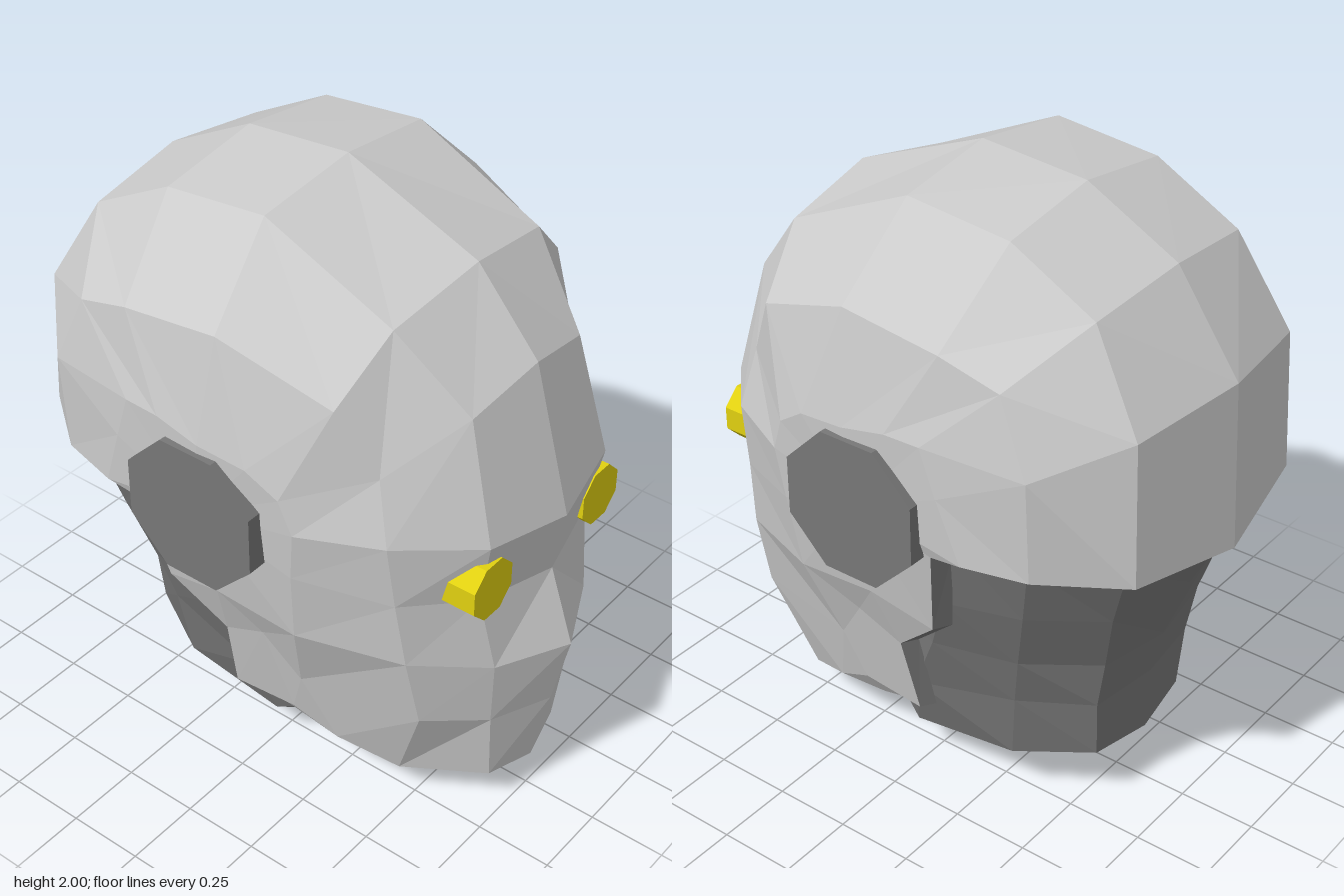
import * as THREE from 'three';

const mat = (color) => new THREE.MeshStandardMaterial({ color, flatShading: true, side: THREE.DoubleSide });

// Collects triangles given for the +x half and mirrors each one
function mirrored(triangles) {
  const pos = [];
  for (const [a, b, c] of triangles) {
    pos.push(...a, ...b, ...c);
    for (const p of [a, c, b]) pos.push(-p[0], p[1], p[2]);
  }
  const g = new THREE.BufferGeometry();
  g.setAttribute('position', new THREE.Float32BufferAttribute(pos, 3));
  g.computeVertexNormals();
  return g;
}

// Triangles between neighbouring rows of points
function loft(rows) {
  const tris = [];
  for (let k = 0; k + 1 < rows.length; k++) {
    for (let j = 0; j + 1 < rows[k].length; j++) {
      const a = rows[k][j], b = rows[k][j + 1], c = rows[k + 1][j + 1], d = rows[k + 1][j];
      tris.push([a, d, c], [a, c, b]);
    }
  }
  return tris;
}

// Triangles from a line of points to one hub
const fan = (line, hub) => line.slice(1).map((p, i) => [line[i], p, hub]);

export function createModel() {
  const model = new THREE.Group();
  const add = (name, geometry, material) => {
    const m = new THREE.Mesh(geometry, material);
    m.name = name;
    model.add(m);
    return m;
  };
  const light = mat(0xcccccc), dark = mat(0x777777), yellow = mat(0xe0d010);

  // Skull: strips from the midline to the temple, from the nape over the crown to the cheeks
  const skull = [
    [[0, 0.98, -0.87], [0.4, 1.03, -0.8], [0.58, 1.05, -0.57], [0.63, 1.05, -0.37]],
    [[0, 1.51, -0.845], [0.39, 1.48, -0.78], [0.6, 1.38, -0.57], [0.645, 1.25, -0.3]],
    [[0, 1.81, -0.635], [0.35, 1.77, -0.61], [0.58, 1.61, -0.47], [0.65, 1.4, -0.25]],
    [[0, 1.97, -0.33], [0.35, 1.92, -0.33], [0.6, 1.67, -0.28], [0.655, 1.4, -0.13]],
    [[0, 2, 0.03], [0.35, 1.955, 0.02], [0.6, 1.71, 0.05], [0.66, 1.37, 0.02]],
    [[0, 1.82, 0.48], [0.34, 1.76, 0.45], [0.53, 1.58, 0.4], [0.645, 1.35, 0.18]],
    [[0, 1.58, 0.69], [0.26, 1.52, 0.66], [0.47, 1.37, 0.51], [0.625, 1.28, 0.28]],
    [[0, 1.11, 0.82], [0.29, 1.14, 0.76], [0.5, 1.17, 0.56], [0.615, 1.17, 0.32]],
    [[0, 0.9, 0.785], [0.27, 0.92, 0.72], [0.47, 0.95, 0.57], [0.6, 1, 0.3]],
  ];
  // Jaw: rows from the midline back to the open rear edge
  const jaw = [
    [[0, 0.65, 0.87], [0.235, 0.66, 0.76], [0.44, 0.72, 0.59], [0.565, 0.75, 0.28], [0.58, 0.78, 0], [0.555, 0.72, -0.21]],
    [[0, 0.4, 0.815], [0.21, 0.42, 0.74], [0.38, 0.46, 0.6], [0.465, 0.47, 0.22], [0.51, 0.63, 0.11], [0.5, 0.56, -0.04]],
    [[0, 0.13, 0.76], [0.17, 0.15, 0.72], [0.31, 0.14, 0.48], [0.39, 0.22, 0.3], [0.43, 0.3, 0.16], [0.44, 0.29, -0.06]],
    [[0, 0.06, 0.6], [0.12, 0.06, 0.59], [0.2, 0.07, 0.45], [0.26, 0.1, 0.3], [0.36, 0.2, 0.15], [0.4, 0.28, -0.07]],
    [[0, 0.08, 0.28], [0.1, 0.09, 0.28], [0.18, 0.11, 0.25], [0.24, 0.14, 0.21], [0.33, 0.22, 0.13], [0.38, 0.29, -0.08]],
  ];
  const earEdge = [0.62, 1.03, -0.26];
  const temple = [...skull.map((r) => r[3]), ...jaw[0].slice(3), earEdge, skull[0][3]];
  add('headShell', mirrored([
    ...loft([...skull, jaw[0].slice(0, 4)]),
    ...loft(jaw),
    ...fan(temple, [0.645, 1.12, 0]),
  ]), light);

  // Rim turned inward along the rear opening
  const edge = [...skull[0], earEdge, jaw[0][5], jaw[1][5], jaw[2][5]];
  const inner = edge.map(([x, y, z]) => [x * 0.9, y, z < -0.3 ? z * 0.93 : z - 0.03]);
  add('shellRim', mirrored(loft([inner, edge])), dark);

  // Neck: rings from the base up, each from the back round to the throat
  const neck = [
    [[0, 0.2, -0.6], [0.22, 0.22, -0.57], [0.34, 0.19, -0.34], [0.35, 0.15, 0.02], [0.22, 0.1, 0.12], [0, 0, 0.15]],
    [[0, 0.42, -0.61], [0.24, 0.42, -0.58], [0.37, 0.42, -0.37], [0.41, 0.35, -0.02], [0.25, 0.18, 0.2], [0, 0.14, 0.23]],
    [[0, 0.58, -0.65], [0.25, 0.59, -0.61], [0.41, 0.6, -0.41], [0.46, 0.58, -0.13], [0.3, 0.5, 0.2], [0, 0.5, 0.25]],
    [[0, 0.8, -0.73], [0.31, 0.81, -0.67], [0.47, 0.82, -0.47], [0.52, 0.8, -0.22], [0.35, 0.8, 0.1], [0, 0.8, 0.2]],
    [[0, 0.99, -0.83], [0.37, 1.04, -0.75], [0.53, 1.06, -0.53], [0.57, 1.06, -0.3], [0.4, 1.06, 0], [0, 1.06, 0.1]],
  ];
  const base = fan(neck[0], [0, 0.13, -0.2]).map(([a, b, c]) => [a, b, c]);
  add('neck', mirrored([...loft(neck), ...base]), dark);

  // Ear discs and eyes
  for (const [side, s] of [['left', 1], ['right', -1]]) {
    const ear = add(side + 'Ear', new THREE.CylinderGeometry(0.244, 0.244, 0.1, 8, 1, false, Math.PI / 8), dark);
    ear.rotation.z = Math.PI / 2;
    ear.position.set(s * 0.625, 1.115, -0.01);
    const eye = add(side + 'Eye', new THREE.CylinderGeometry(0.098, 0.098, 0.22, 8, 1, false, Math.PI / 8), yellow);
    eye.rotation.x = Math.PI / 2;
    eye.position.set(s * 0.274, 0.99, 0.655);
  }
  return model;
}
